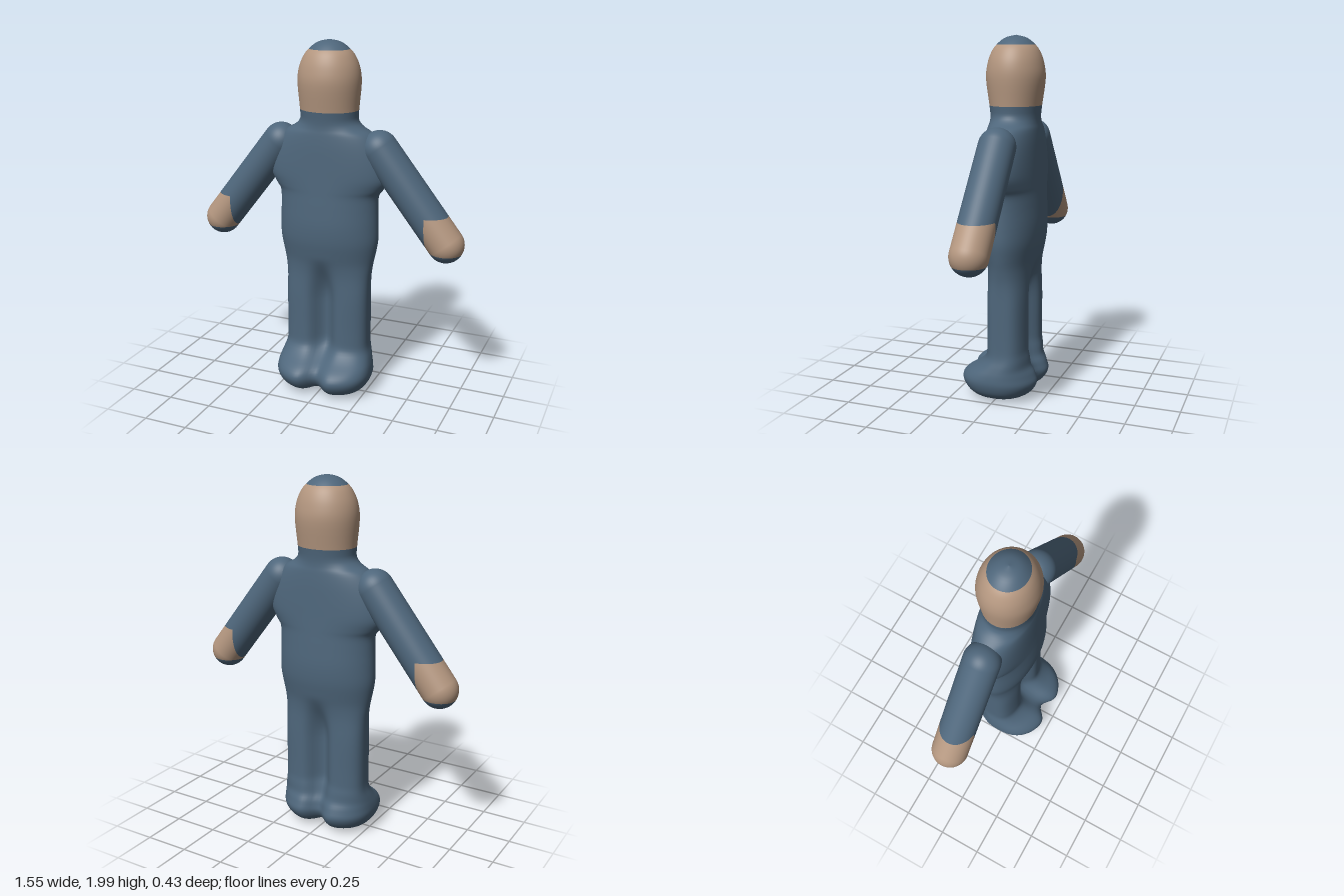
import * as THREE from 'three';

const suit = new THREE.MeshStandardMaterial({ color: 0x4e667b });
suit.name = 'slate blue suit';
const skin = new THREE.MeshStandardMaterial({ color: 0xb3967f });
skin.name = 'tan skin';

// Body profile, sole to crown: height, half width, half depth
const PROFILE = [
  [0.012, 0.001, 0.001],
  [0.006, 0.13, 0.09],
  [0.02, 0.205, 0.15],
  [0.055, 0.252, 0.2],
  [0.11, 0.275, 0.228],
  [0.16, 0.274, 0.207],
  [0.21, 0.263, 0.155],
  [0.27, 0.248, 0.124],
  [0.35, 0.245, 0.119],
  [0.5, 0.245, 0.119],
  [0.66, 0.246, 0.119],
  [0.75, 0.257, 0.127],
  [0.83, 0.274, 0.143],
  [0.91, 0.287, 0.157],
  [1.0, 0.287, 0.162],
  [1.1, 0.284, 0.158],
  [1.17, 0.288, 0.154],
  [1.21, 0.315, 0.152],
  [1.27, 0.345, 0.149],
  [1.35, 0.335, 0.146],
  [1.44, 0.3, 0.142],
  [1.505, 0.255, 0.137],
  [1.54, 0.195, 0.133],
  [1.575, 0.164, 0.133],
  [1.63, 0.163, 0.139],
  [1.77, 0.174, 0.158],
  [1.85, 0.166, 0.15],
  [1.91, 0.142, 0.13],
  [1.95, 0.111, 0.102],
  [1.985, 0.062, 0.058],
  [2.0, 0.001, 0.001],
];
const AXIS_Z = -0.054; // the figure stands behind its toes

// Smooth skin through the interpolated profile
function bodyGeometry(sides = 128, steps = 4) {
  const spline = new THREE.CubicInterpolant(PROFILE.map((_, i) => i), PROFILE.flat(), 3);
  const rows = (PROFILE.length - 1) * steps;
  const pos = [], index = [];
  const { smoothstep } = THREE.MathUtils;
  const power = (v, n) => Math.sign(v) * Math.abs(v) ** (2 / n);
  for (let j = 0; j <= rows; j++) {
    const [y, rx, rz] = spline.evaluate(j / steps);
    // Groove between feet and legs, fading out above the crotch; legs are squarer
    const groove = (0.3 + 0.4 * smoothstep(y, 0.15, 0.32)) * (1 - smoothstep(y, 0.55, 0.82));
    const n = 2 + 1.4 * groove;
    const cz = AXIS_Z * smoothstep(y, 0.13, 0.27); // feet reach forward
    for (let i = 0; i < sides; i++) {
      const a = (i / sides) * Math.PI * 2;
      const x = rx * power(Math.cos(a), n);
      const middle = Math.exp(-((x / 0.06) ** 2));
      const lift = 0.025 * Math.max(0, 1 - y / 0.12) * middle; // arch between the feet
      pos.push(x, y + lift, cz + rz * power(Math.sin(a), n) * (1 - groove * middle));
      if (j < rows) {
        const p = j * sides + i, q = j * sides + ((i + 1) % sides);
        index.push(p, p + sides, q, q, p + sides, q + sides);
      }
    }
  }
  const g = new THREE.BufferGeometry();
  g.setAttribute('position', new THREE.Float32BufferAttribute(pos, 3));
  g.setIndex(index);
  g.computeVertexNormals();
  return g;
}

// Straight round arm from shoulder to hand
function armGeometry(side) {
  const shoulder = new THREE.Vector2(0.29, 1.435), hand = new THREE.Vector2(0.674, 0.946);
  const d = hand.clone().sub(shoulder), mid = hand.clone().add(shoulder).multiplyScalar(0.5);
  return new THREE.CapsuleGeometry(0.1, d.length(), 16, 48, 12)
    .rotateZ(side * Math.atan2(d.x, -d.y))
    .translate(side * mid.x, mid.y, AXIS_Z);
}

// Triangles as corner lists of position and normal
function toTriangles(geometry) {
  const g = geometry.toNonIndexed(), p = g.attributes.position, n = g.attributes.normal;
  const corner = (i) => [p.getX(i), p.getY(i), p.getZ(i), n.getX(i), n.getY(i), n.getZ(i)];
  return Array.from({ length: p.count / 3 }, (_, t) => [0, 1, 2].map((k) => corner(t * 3 + k)));
}

// Slice triangles along a plane so colour borders stay crisp
function cut(tris, axis, at) {
  return tris.flatMap((t) => [1, -1].flatMap((s) => {
    const poly = [];
    t.forEach((p, i) => {
      const q = t[(i + 1) % 3], a = s * (p[axis] - at), b = s * (q[axis] - at);
      if (a >= 0) poly.push(p);
      if (a * b < 0) poly.push(p.map((v, k) => v + ((q[k] - v) * a) / (a - b)));
    });
    return poly.slice(2).map((p, i) => [poly[0], poly[i + 1], p]);
  }));
}

// Mesh of those triangles whose centre passes a test
function piece(name, material, tris, test) {
  const kept = tris.filter((t) => {
    const [x, y] = [0, 1].map((k) => (t[0][k] + t[1][k] + t[2][k]) / 3);
    return test(Math.abs(x), y);
  }).flat();
  const g = new THREE.BufferGeometry();
  g.setAttribute('position', new THREE.Float32BufferAttribute(kept.flatMap((c) => c.slice(0, 3)), 3));
  g.setAttribute('normal', new THREE.Float32BufferAttribute(kept.flatMap((c) => c.slice(3)), 3));
  const mesh = new THREE.Mesh(g, material);
  mesh.name = name;
  return mesh;
}

export function createModel() {
  const model = new THREE.Group();
  model.name = 'figure';

  // Torso, legs and feet in one skin, then head and cap
  const body = cut(cut(toTriangles(bodyGeometry()), 1, 1.63), 1, 1.95);
  model.add(
    piece('body', suit, body, (x, y) => y < 1.63),
    piece('head', skin, body, (x, y) => y >= 1.63 && y < 1.95),
    piece('cap', suit, body, (x, y) => y >= 1.95),
  );

  // Arms: sleeve, bare hand and covered fingertips
  for (const side of [1, -1]) {
    const arm = new THREE.Group();
    arm.name = side > 0 ? 'leftArm' : 'rightArm';
    const tris = cut(cut(cut(toTriangles(armGeometry(side)), 1, 1.1), 1, 0.9), 0, side * 0.575);
    const bare = (x, y) => x > 0.575 && y >= 0.9 && y < 1.1;
    arm.add(
      piece('sleeve', suit, tris, (x, y) => y >= 0.9 && !bare(x, y)),
      piece('hand', skin, tris, bare),
      piece('fingertips', suit, tris, (x, y) => y < 0.9),
    );
    model.add(arm);
  }
  return model;
}
